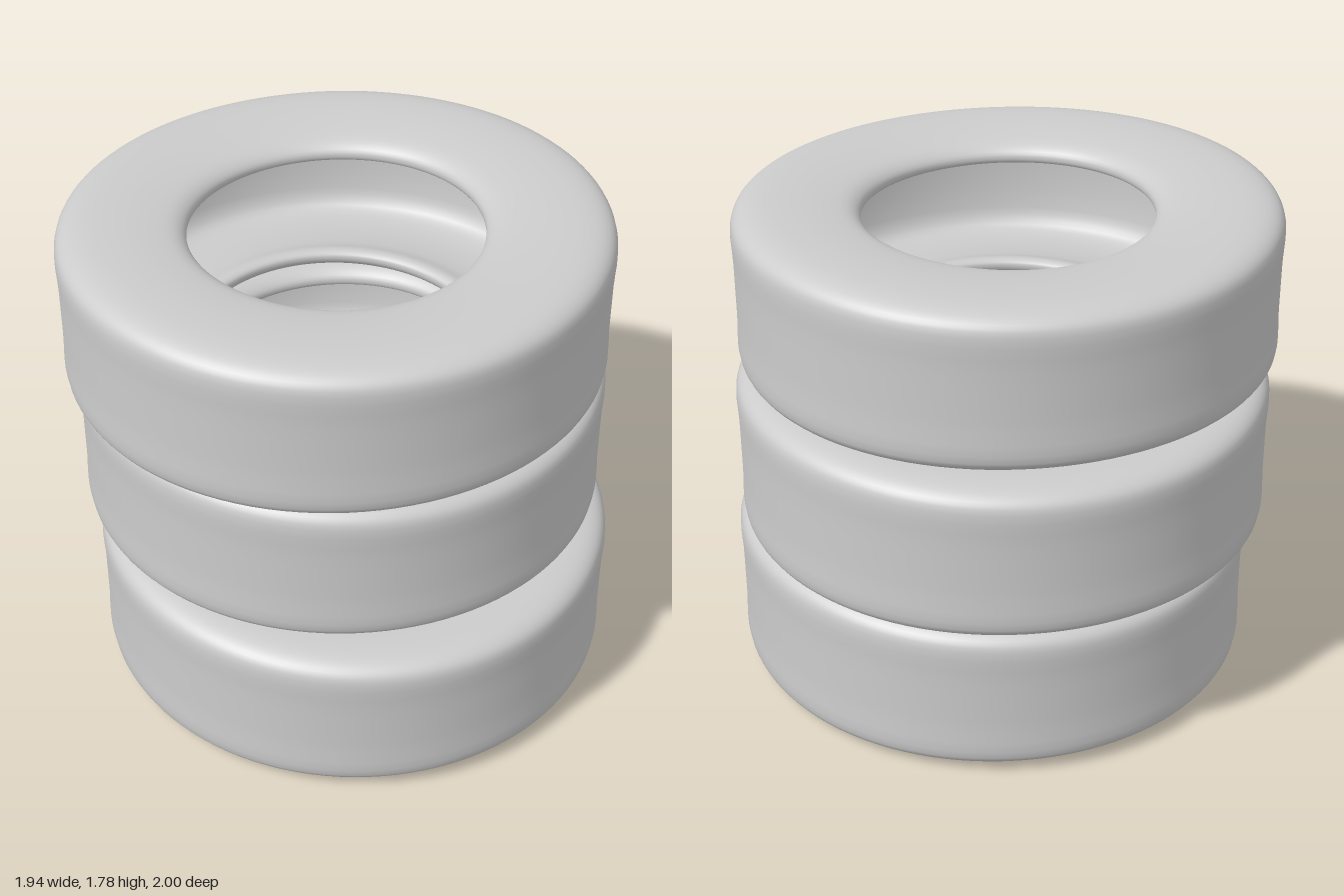
import * as THREE from 'three';
import { mergeVertices } from 'three/addons/utils/BufferGeometryUtils.js';

// Upper half of the hollow tyre section [radius, height], from the tread round the lip to the cavity
const HALF = [
  [0.95, 0.1], [0.95, 0.235], [0.925, 0.27], [0.87, 0.291], [0.75, 0.296], [0.62, 0.285],
  [0.545, 0.268], [0.512, 0.24], [0.512, 0.212], [0.54, 0.2], [0.62, 0.225], [0.78, 0.24],
  [0.87, 0.22], [0.905, 0.15],
];

function tyreGeometry() {
  const upper = HALF.map(([r, y]) => new THREE.Vector3(r, y, 0));
  const lower = HALF.map(([r, y]) => new THREE.Vector3(r, -y, 0)).reverse();
  const section = new THREE.CatmullRomCurve3([...lower, ...upper], true, 'centripetal');
  const profile = section.getPoints(96).map((p) => new THREE.Vector2(p.x, p.y));
  profile[profile.length - 1].copy(profile[0]);
  let geo = new THREE.LatheGeometry(profile, 112);

  // Sag: a little taller at the sides, squashed at the front and back
  const pos = geo.attributes.position;
  for (let i = 0; i < pos.count; i++) {
    const x = pos.getX(i), z = pos.getZ(i);
    const cos2 = (x * x - z * z) / (x * x + z * z);
    pos.setY(i, pos.getY(i) * (0.98 + 0.028 * cos2));
  }

  // Weld the seams so the shading stays smooth all round
  geo.deleteAttribute('uv');
  geo.deleteAttribute('normal');
  geo = mergeVertices(geo, 1e-4);
  geo.computeVertexNormals();
  return geo;
}

export function createModel() {
  const group = new THREE.Group();
  group.name = 'tyreStack';
  const geo = tyreGeometry();
  const mat = new THREE.MeshStandardMaterial({ color: 0xcccccc, side: THREE.DoubleSide });

  // Loosely stacked tyres: centre and half widths along x and z
  const tyres = [
    { name: 'bottomTyre', at: [0.025, 0.302, 0.047], rx: 0.93, rz: 0.953 },
    { name: 'middleTyre', at: [0.027, 0.902, -0.055], rx: 0.938, rz: 0.945 },
    { name: 'topTyre', at: [-0.02, 1.487, 0], rx: 0.95, rz: 0.935 },
  ];
  for (const { name, at, rx, rz } of tyres) {
    const tyre = new THREE.Mesh(geo, mat);
    tyre.name = name;
    tyre.position.set(...at);
    tyre.scale.set(rx / 0.952, 1, rz / 0.952);
    group.add(tyre);
  }
  return group;
}
